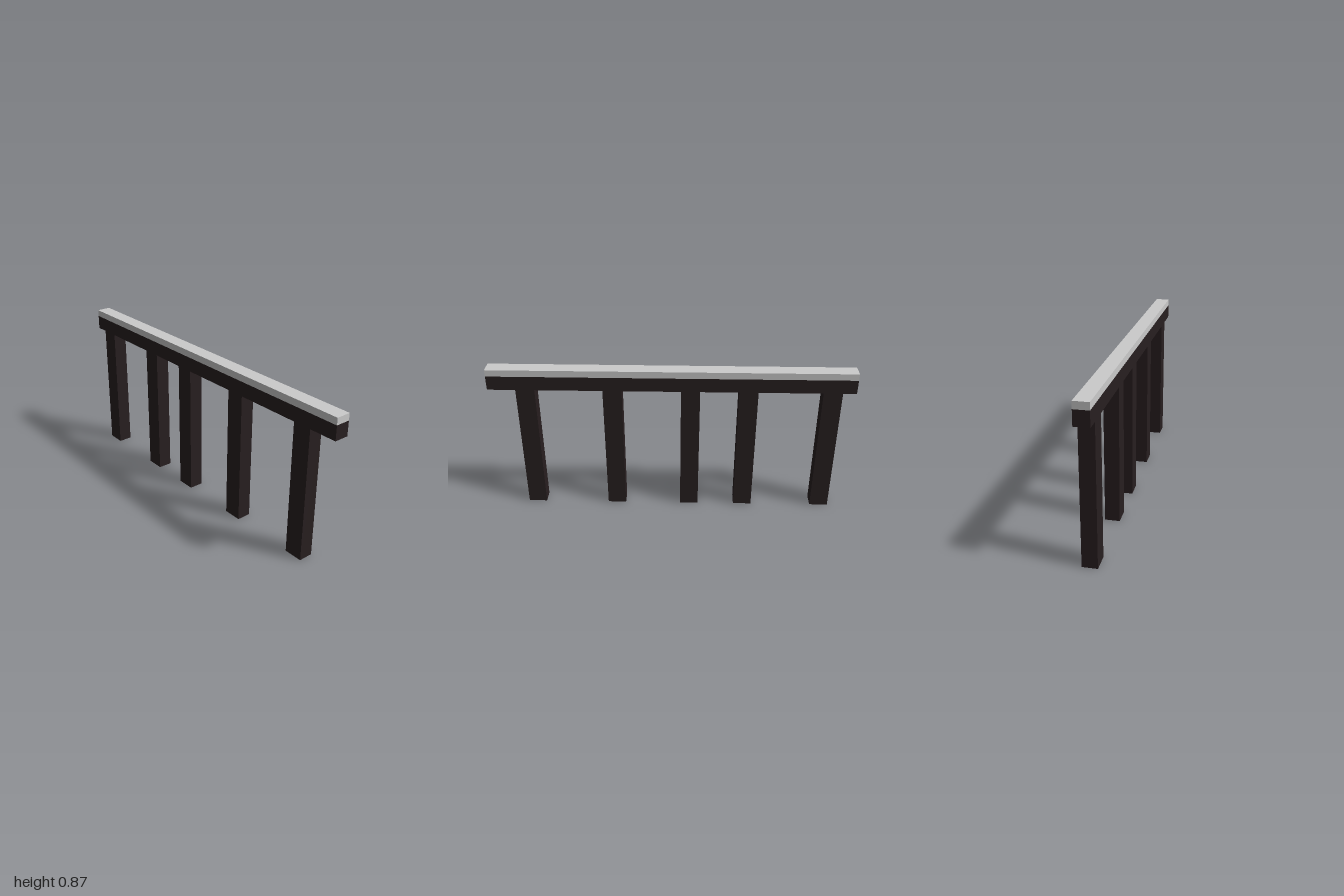
import * as THREE from 'three';

const WIDTH = 0.08, LENGTH = 2, POST_DEPTH = 0.104;
const BEAM_BOTTOM = 0.75, BEAM_TOP = 0.83, TOP = 0.868;

// Box spanning y0..y1, centred on x = 0 and on the given z
function block(name, y0, y1, depth, z, material) {
  const mesh = new THREE.Mesh(new THREE.BoxGeometry(WIDTH, y1 - y0, depth), material);
  mesh.name = name;
  mesh.position.set(0, (y0 + y1) / 2, z);
  return mesh;
}

// Drops the underside of a box, leaving a hollow post
function openBottom(geometry) {
  const index = Array.from(geometry.index.array);
  index.splice(18, 6);
  geometry.setIndex(index);
  geometry.clearGroups();
}

export function createModel() {
  const model = new THREE.Group();
  model.name = 'railing';
  const dark = new THREE.MeshStandardMaterial({ color: 0x281f20, side: THREE.DoubleSide });
  const grey = new THREE.MeshStandardMaterial({ color: 0xcccccc });

  // Top rail: pale cap on a dark beam
  model.add(block('railCap', BEAM_TOP, TOP, LENGTH, 0, grey));
  model.add(block('railBeam', BEAM_BOTTOM, BEAM_TOP, LENGTH, 0, dark));

  // Unevenly spaced posts, the rear three hollow at the foot
  [0.794, 0.32, -0.106, -0.421, -0.874].forEach((z, i) => {
    const post = block(`post${i + 1}`, 0, BEAM_BOTTOM, POST_DEPTH, z, dark);
    if (i > 1) openBottom(post.geometry);
    model.add(post);
  });
  return model;
}
